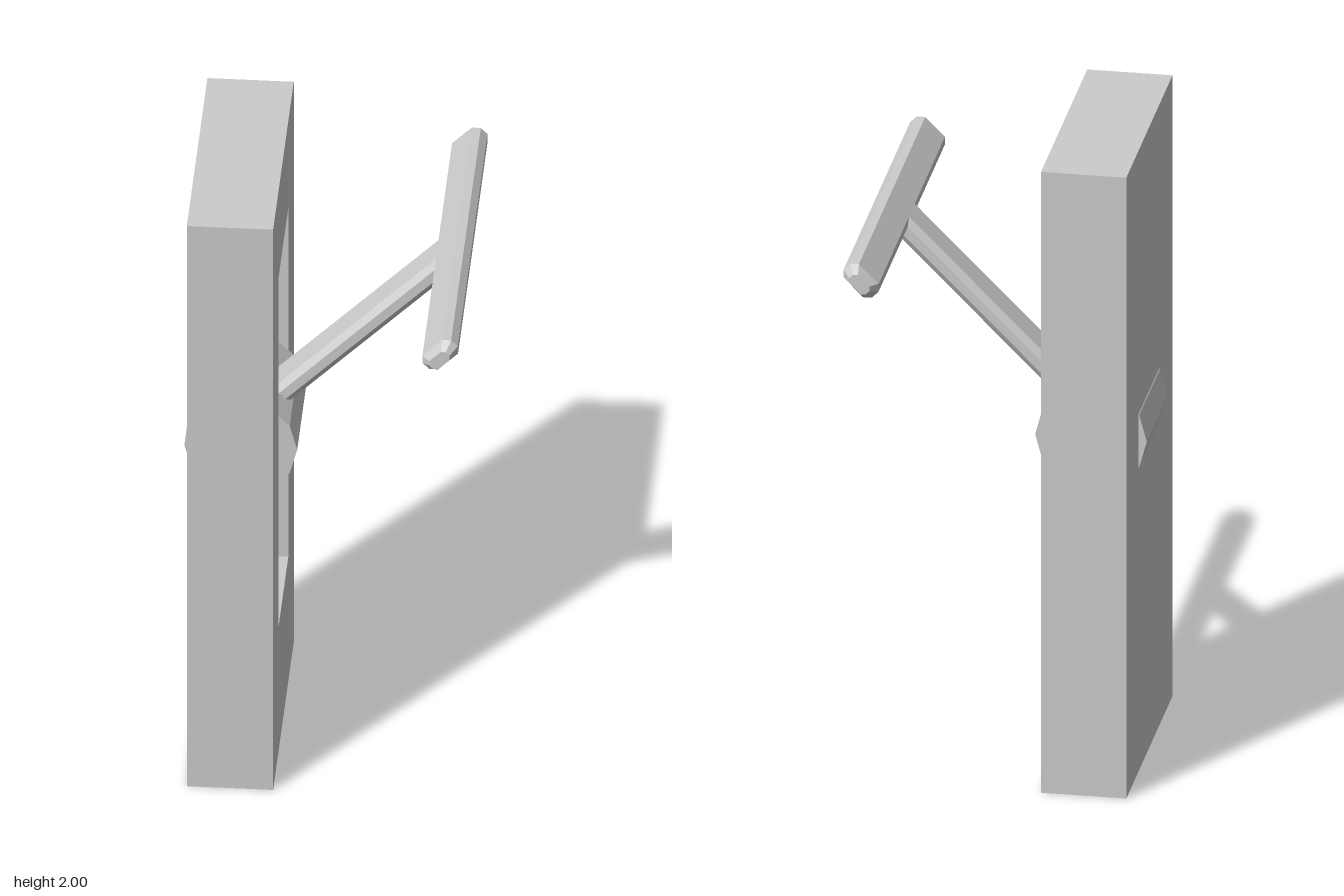
import * as THREE from 'three';

const material = new THREE.MeshStandardMaterial({ color: 0xcccccc, flatShading: true });

function addMesh(parent, name, geometry) {
  const mesh = new THREE.Mesh(geometry, material);
  mesh.name = name;
  parent.add(mesh);
  return mesh;
}

// Joins cross-sections of equal point count and caps both ends.
// Points run counter-clockwise about the axis from first ring to last.
function loft(rings) {
  const out = [];
  const tri = (a, b, c) => out.push(...a, ...b, ...c);
  const n = rings[0].length;
  for (let i = 0; i < rings.length - 1; i++) {
    for (let j = 0; j < n; j++) {
      const k = (j + 1) % n;
      const [a, b, c, d] = [rings[i][j], rings[i][k], rings[i + 1][k], rings[i + 1][j]];
      tri(a, b, c);
      tri(a, c, d);
    }
  }
  const first = rings[0], last = rings[rings.length - 1];
  for (let j = 1; j < n - 1; j++) {
    tri(first[0], first[j + 1], first[j]);
    tri(last[0], last[j], last[j + 1]);
  }
  const geometry = new THREE.BufferGeometry();
  geometry.setAttribute('position', new THREE.Float32BufferAttribute(out, 3));
  geometry.computeVertexNormals();
  return geometry;
}

// Flattened octagon: half width w, flat to f, half height h, side edge to e.
function octagon(w, f, h, e) {
  return [[w, -e], [w, e], [f, h], [-f, h], [-w, e], [-w, -e], [-f, -h], [f, -h]];
}

export function createModel() {
  const model = new THREE.Group();
  model.name = 'wallLever';

  // Backing panel with a recessed slot in its +x face
  const rect = (x, y0, y1, z0, z1) => [[x, y0, z0], [x, y1, z0], [x, y1, z1], [x, y0, z1]];
  addMesh(model, 'panel', loft([
    rect(-0.4, 0, 2, -0.385, 0.406),
    rect(-0.143, 0, 2, -0.385, 0.406),
    rect(-0.143, 0.444, 1.69, -0.176, 0.2),
    rect(-0.226, 0.444, 1.69, -0.176, 0.2),
  ]));

  // Twelve-sided pivot drum passing through the panel
  const pivot = addMesh(model, 'pivotDrum', new THREE.CylinderGeometry(0.168, 0.168, 0.356, 12));
  pivot.rotation.x = Math.PI / 2;
  pivot.position.set(-0.257, 1.065, 0);

  // Lever tilted up 45 degrees; local x runs along the stem
  const lever = new THREE.Group();
  lever.name = 'lever';
  lever.position.copy(pivot.position);
  lever.rotation.z = Math.PI / 4;
  model.add(lever);

  const reach = 0.882;
  const stemProfile = octagon(0.067, 0.05, 0.033, 0.014);
  addMesh(lever, 'leverStem', loft([0, reach - 0.042].map(
    (x) => stemProfile.map(([z, y]) => [x, y, -z]))));

  // Crossbar grip with chamfered ends
  const gripProfile = octagon(0.06, 0.042, 0.033, 0.014);
  const gripSections = [[-0.6, 0.58], [-0.568, 1], [0.568, 1], [0.6, 0.58]];
  addMesh(lever, 'gripBar', loft(gripSections.map(
    ([z, s]) => gripProfile.map(([x, y]) => [reach + x * s, y * s, z]))));

  return model;
}
